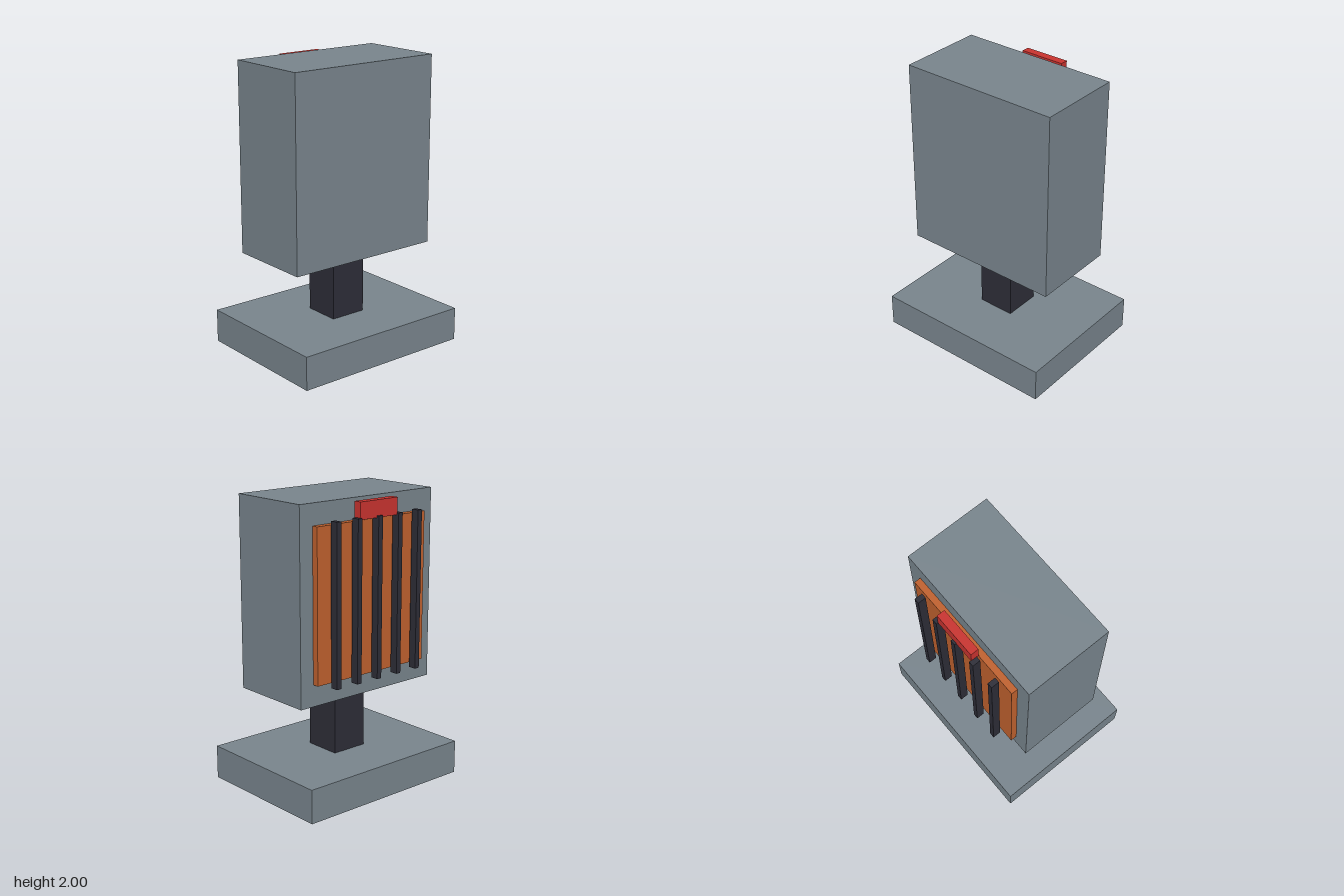
import * as THREE from 'three';

const material = (name, color) => {
  const m = new THREE.MeshStandardMaterial({ color });
  m.name = name;
  return m;
};

export function createModel() {
  const group = new THREE.Group();
  group.name = 'panelOnStand';

  const grey = material('steelGrey', 0x78848c);
  const dark = material('darkMetal', 0x2d2d37);
  const orange = material('glowOrange', 0xbf612e);
  const red = material('signalRed', 0xc8332f);

  // Box given by its centre x, width, and its y and z ranges
  const box = (name, mat, x, width, [y0, y1], [z0, z1]) => {
    const mesh = new THREE.Mesh(new THREE.BoxGeometry(width, y1 - y0, z1 - z0), mat);
    mesh.position.set(x, (y0 + y1) / 2, (z0 + z1) / 2);
    mesh.name = name;
    group.add(mesh);
  };

  // Stand
  box('base', grey, 0, 1.31, [0, 0.232], [-0.511, 0.511]);
  box('post', dark, 0, 0.262, [0.232, 0.688], [-0.131, 0.131]);

  // Housing with the rear panel
  box('housing', grey, 0, 1.136, [0.688, 2], [-0.306, 0.306]);
  box('rearPanel', orange, 0, 0.93, [0.835, 1.858], [-0.35, -0.306]);

  // Grille bars standing off the panel
  for (let i = -2; i <= 2; i++) {
    box('grilleBar', dark, i * 0.1745, 0.036, [0.808, 1.885], [-0.423, -0.367]);
  }

  // Block above the grille
  box('topBlock', red, 0, 0.32, [1.872, 1.986], [-0.408, -0.351]);

  return group;
}
